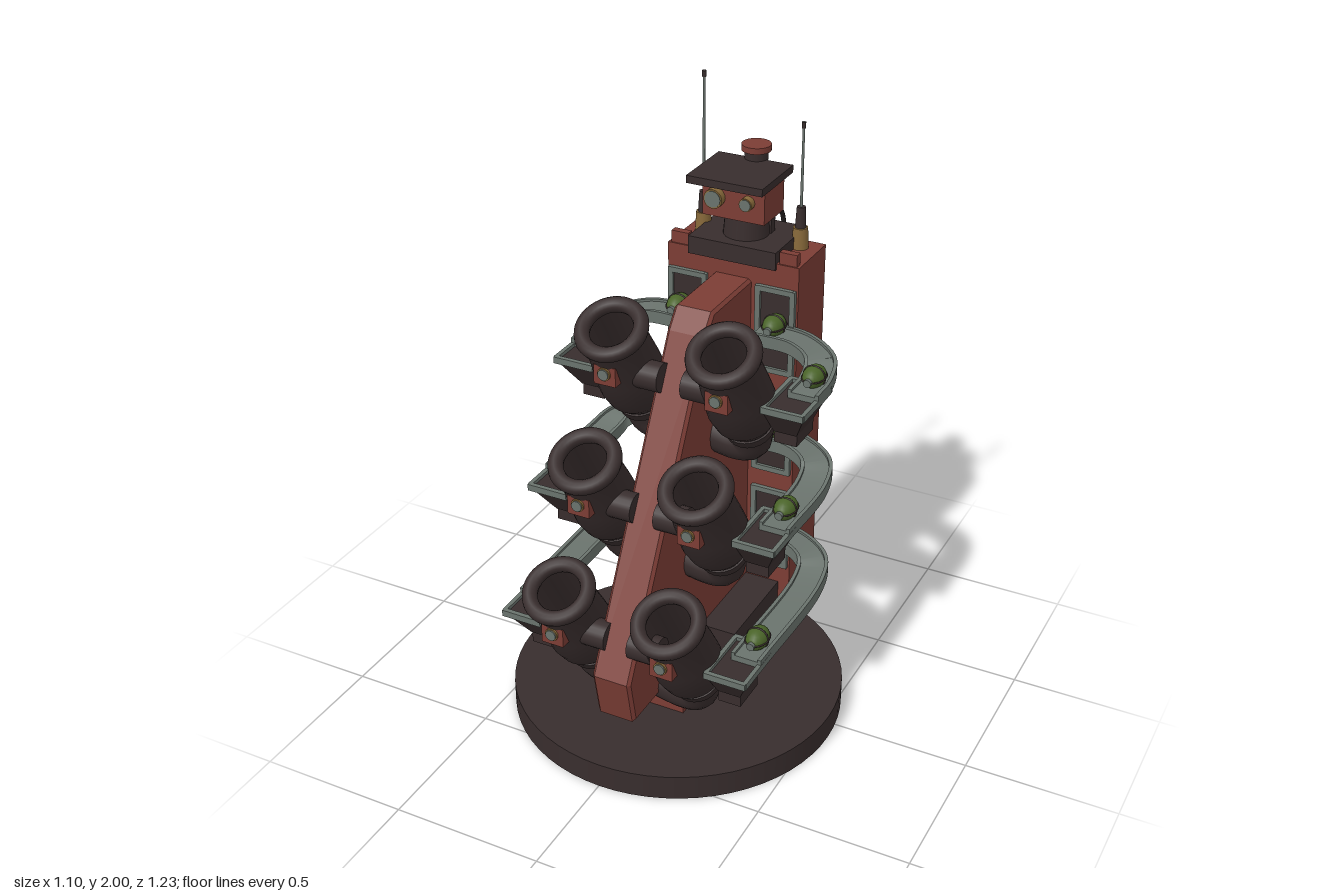
import * as THREE from 'three';
import { toCreasedNormals } from 'three/addons/utils/BufferGeometryUtils.js';

const mat = (name, color) => Object.assign(new THREE.MeshStandardMaterial({ color }), { name });
const RED = mat('rust red', 0x7c3d35);
const DARK = mat('dark iron', 0x382d2d);
const BLACK = mat('black panel', 0x242020);
const GRAY = mat('gray steel', 0x6a736d);
const GREEN = mat('green', 0x4a6429);
const GOLD = mat('brass', 0x87693a);

const V = (x, y, z) => new THREE.Vector3(x, y, z);

function add(parent, name, geo, material, x = 0, y = 0, z = 0) {
  const m = new THREE.Mesh(geo, material);
  m.name = name;
  m.position.set(x, y, z);
  parent.add(m);
  return m;
}
// Box given by its min and max corners
function box(parent, name, material, x0, x1, y0, y1, z0, z1) {
  return add(parent, name, new THREE.BoxGeometry(x1 - x0, y1 - y0, z1 - z0), material,
    (x0 + x1) / 2, (y0 + y1) / 2, (z0 + z1) / 2);
}
// Upright cylinder standing on y
function post(parent, name, material, r0, r1, x, y, z, h, n = 20) {
  return add(parent, name, new THREE.CylinderGeometry(r1, r0, h, n), material, x, y + h / 2, z);
}
// Disc or cylinder lying along z
function zDisc(parent, name, material, r, x, y, z, h) {
  return add(parent, name, new THREE.CylinderGeometry(r, r, h, 16).rotateX(Math.PI / 2), material, x, y, z);
}
// Rectangular bar swept along a curve, kept level
function sweep(curve, w, h, off = 0) {
  const g = new THREE.BoxGeometry(w, h, 1, 1, 1, 28);
  const p = g.attributes.position;
  for (let i = 0; i < p.count; i++) {
    const t = THREE.MathUtils.clamp(p.getZ(i) + 0.5, 0, 1);
    const c = curve.getPoint(t);
    const side = V(0, 1, 0).cross(curve.getTangent(t)).normalize();
    c.addScaledVector(side, p.getX(i) + off);
    p.setXYZ(i, c.x, c.y + p.getY(i), c.z);
  }
  return toCreasedNormals(g, 0.6);
}

function lamp(parent, x, y, z) {
  const g = new THREE.Group();
  g.name = 'greenLamp';
  g.position.set(x, y, z);
  parent.add(g);
  add(g, 'lampBody', new THREE.SphereGeometry(0.036, 18, 12).scale(1, 1, 1.4), GREEN);
  add(g, 'lampBand', new THREE.TorusGeometry(0.035, 0.004, 6, 20), DARK);
  add(g, 'lampBandLengthwise', new THREE.TorusGeometry(0.036, 0.003, 6, 20).scale(1, 1.4, 1).rotateX(Math.PI / 2), DARK);
  zDisc(g, 'lampCap', GRAY, 0.013, 0, 0, 0.05, 0.015);
  box(g, 'lampFoot', GRAY, -0.02, 0.02, -0.05, -0.025, -0.03, 0.03);
}

const barrelGeo = toCreasedNormals(new THREE.LatheGeometry([
  [0, -0.385], [0.05, -0.38], [0.082, -0.355], [0.103, -0.315], [0.112, -0.26], [0.108, -0.18],
  [0.1, -0.08], [0.1, 0], [0.08, 0], [0.08, -0.3], [0, -0.3],
].map(([r, y]) => new THREE.Vector2(r, y)), 32), 0.7);

// Barrel with rim, elbow, pivot and sight
function mortar(parent, s, i) {
  const y = 1.355 - 0.37 * i, z = 0.14 + 0.182 * i, x = s * 0.19;
  const g = new THREE.Group();
  g.name = 'barrel';
  g.position.set(x, y, z);
  g.rotation.x = Math.PI / 6;
  parent.add(g);
  add(g, 'barrelTube', barrelGeo, DARK);
  add(g, 'barrelRim', new THREE.TorusGeometry(0.094, 0.025, 12, 36).rotateX(Math.PI / 2), DARK);
  post(g, 'barrelCollar', DARK, 0.08, 0.085, 0, -0.395, 0, 0.035, 24);
  const path = new THREE.CatmullRomCurve3([
    V(x, y - 0.29, z - 0.167), V(x, y - 0.36, z - 0.205), V(s * 0.175, y - 0.405, z - 0.225),
    V(s * 0.13, y - 0.415, z - 0.23), V(s * 0.04, y - 0.4, z - 0.23)]);
  add(parent, 'elbowPipe', new THREE.TubeGeometry(path, 20, 0.068, 18), DARK);
  add(parent, 'pivot', new THREE.CylinderGeometry(0.048, 0.048, 0.1, 20).rotateZ(Math.PI / 2), DARK, s * 0.09, y - 0.155, z - 0.05);
  box(parent, 'sightBox', RED, x - 0.038, x + 0.038, y - 0.17, y - 0.105, z - 0.01, z + 0.05);
  zDisc(parent, 'sightRing', GOLD, 0.022, x, y - 0.13, z + 0.05, 0.014);
  zDisc(parent, 'sightLens', GRAY, 0.018, x, y - 0.13, z + 0.055, 0.014);
}

// Curved arm with tray, lamps and mounting frame
function arm(parent, s, i) {
  const y = 1.17 - 0.37 * i, dz = 0.187 * i, zF = 0.085 + dz, zB = zF - 0.21, cx = s * 0.36;
  const path = new THREE.CatmullRomCurve3([
    V(s * 0.12, y + 0.07, -0.25), V(s * 0.27, y + 0.066, -0.245), V(s * 0.355, y + 0.04, -0.205),
    V(s * 0.38, y + 0.015, -0.12), V(s * 0.38, y + 0.008, -0.02 + dz)]);
  add(parent, 'armPlate', sweep(path, 0.095, 0.025), GRAY);
  for (const o of [-0.045, 0.045]) add(parent, 'armEdge', sweep(path, 0.012, 0.042, o), GRAY);
  // Funnel tray, narrowing downward
  const f = new THREE.BoxGeometry(0.14, 0.11, 0.21).toNonIndexed();
  const p = f.attributes.position;
  for (let k = 0; k < p.count; k++) if (p.getY(k) < 0) {
    p.setX(k, p.getX(k) * 0.55 - s * 0.022);
    p.setZ(k, p.getZ(k) * 0.62 - 0.035);
  }
  f.computeVertexNormals();
  add(parent, 'tray', f, DARK, cx, y - 0.055, (zF + zB) / 2);
  box(parent, 'trayFoot', DARK, cx - s * 0.022 - 0.038, cx - s * 0.022 + 0.038, y - 0.15, y - 0.11, zB + 0.005, zB + 0.13);
  for (const z of [zF, zB]) box(parent, 'trayRim', GRAY, cx - 0.07, cx + 0.07, y - 0.01, y + 0.012, z - 0.008, z + 0.008);
  for (const x of [cx - 0.065, cx + 0.065]) box(parent, 'trayRim', GRAY, x - 0.007, x + 0.007, y - 0.01, y + 0.012, zB, zF);
  lamp(parent, s * 0.38, y + 0.045, -0.105 + dz);
  lamp(parent, s * 0.17, y + 0.1, -0.265);
  // Frame on the tower face
  const c = y + 0.06, xm = s * 0.155;
  for (const o of [-0.06, 0.06]) box(parent, 'mountFrame', GRAY, xm + o - 0.009, xm + o + 0.009, c - 0.15, c + 0.15, -0.315, -0.295);
  for (const o of [-0.142, 0.142]) box(parent, 'mountFrame', GRAY, xm - 0.06, xm + 0.06, c + o - 0.009, c + o + 0.009, -0.315, -0.295);
  box(parent, 'mountPanel', DARK, xm - 0.055, xm + 0.055, c - 0.135, c + 0.135, -0.315, -0.305);
}

function spine(parent) {
  const shape = new THREE.Shape([[-0.32, 0.2], [0.49, 0.2], [0.52, 0.35], [0.005, 1.32], [-0.045, 1.38], [-0.32, 1.38]]
    .map(([z, y]) => new THREE.Vector2(z, y)));
  const geo = new THREE.ExtrudeGeometry(shape, { depth: 0.114, bevelSize: 0.01, bevelThickness: 0.01, bevelSegments: 1 });
  add(parent, 'spine', geo.translate(0, 0, -0.057).rotateY(-Math.PI / 2), RED);
}

// Sensor head on the tower
function head(parent) {
  box(parent, 'towerCap', DARK, -0.153, 0.153, 1.44, 1.5, -0.54, -0.3);
  post(parent, 'neck', DARK, 0.075, 0.068, 0, 1.5, -0.41, 0.09);
  box(parent, 'headBox', RED, -0.107, 0.107, 1.58, 1.705, -0.455, -0.31);
  box(parent, 'headRoof', DARK, -0.13, 0.13, 1.705, 1.73, -0.47, -0.24);
  post(parent, 'hatchBase', DARK, 0.038, 0.038, 0, 1.725, -0.475, 0.035);
  post(parent, 'hatchCap', RED, 0.048, 0.048, 0, 1.757, -0.475, 0.02, 28);
  for (const [x, r] of [[-0.06, 0.032], [0.052, 0.022]]) {
    zDisc(parent, 'lensRing', GOLD, r, x, 1.647, -0.3, 0.03);
    zDisc(parent, 'lens', GRAY, r * 0.85, x, 1.647, -0.287, 0.01);
  }
  for (const [x, z, top] of [[-0.168, -0.44, 2], [0.165, -0.462, 1.88]]) {
    post(parent, 'antennaFoot', GOLD, 0.028, 0.024, x, 1.46, z, 0.07);
    post(parent, 'antennaSocket', DARK, 0.018, 0.014, x, 1.53, z, 0.07);
    post(parent, 'antennaRod', GRAY, 0.005, 0.004, x, 1.6, z, top - 1.6, 8);
    post(parent, 'antennaTip', DARK, 0.007, 0.007, x, top - 0.02, z, 0.02, 8);
  }
}

// Rear panel with clamps, junction box and cables
function rear(parent) {
  box(parent, 'rearPanel', BLACK, -0.095, 0.095, 0.28, 1.42, -0.538, -0.515);
  for (const x of [-0.1, 0.1]) box(parent, 'rearRail', DARK, x - 0.012, x + 0.012, 0.28, 1.42, -0.543, -0.515);
  for (const y of [0.3, 0.36, 0.66, 1.08, 1.38]) {
    box(parent, 'rearCrossbar', GRAY, -0.112, 0.112, y - 0.01, y + 0.01, -0.548, -0.52);
    for (const x of [-0.095, 0.095]) box(parent, 'rearClamp', GRAY, x - 0.016, x + 0.016, y - 0.025, y + 0.025, -0.557, -0.52);
  }
  box(parent, 'junctionBox', RED, -0.072, 0.072, 0.72, 0.93, -0.6, -0.535);
  for (const x of [-0.04, 0, 0.04]) zDisc(parent, 'junctionKnob', GOLD, 0.01, x, 0.875, -0.604, 0.02);
  for (const x of [-0.06, 0.06]) {
    const path = new THREE.CatmullRomCurve3([V(x, 1.57, -0.45), V(x, 1.565, -0.5), V(x, 1.52, -0.555),
      V(x, 1.4, -0.575), V(x, 1.15, -0.577), V(x, 1, -0.585), V(x, 0.925, -0.595)]);
    add(parent, 'cable', new THREE.TubeGeometry(path, 40, 0.008, 8), BLACK);
    box(parent, 'cablePlug', DARK, x - 0.015, x + 0.015, 1.5, 1.585, -0.465, -0.435);
    for (const y of [1.44, 1.1]) box(parent, 'cableClip', GOLD, x - 0.014, x + 0.014, y - 0.01, y + 0.01, -0.592, -0.535);
  }
}

export function createModel() {
  const g = new THREE.Group();
  g.name = 'mortarTower';
  // Base and tower
  post(g, 'baseDisc', DARK, 0.55, 0.55, 0, 0, 0.07, 0.085, 64);
  box(g, 'pedestal', RED, -0.12, 0.12, 0.085, 0.2, -0.17, 0.27);
  box(g, 'chassis', DARK, -0.19, 0.19, 0.15, 0.27, -0.485, 0.035);
  box(g, 'tower', RED, -0.23, 0.23, 0.195, 1.46, -0.52, -0.31);
  spine(g);
  for (const s of [-1, 1]) {
    box(g, 'shoulder', RED, s * 0.19 - 0.03, s * 0.19 + 0.03, 1.45, 1.5, -0.34, -0.315);
    for (let i = 0; i < 3; i++) {
      mortar(g, s, i);
      arm(g, s, i);
    }
  }
  head(g);
  rear(g);
  return g;
}
